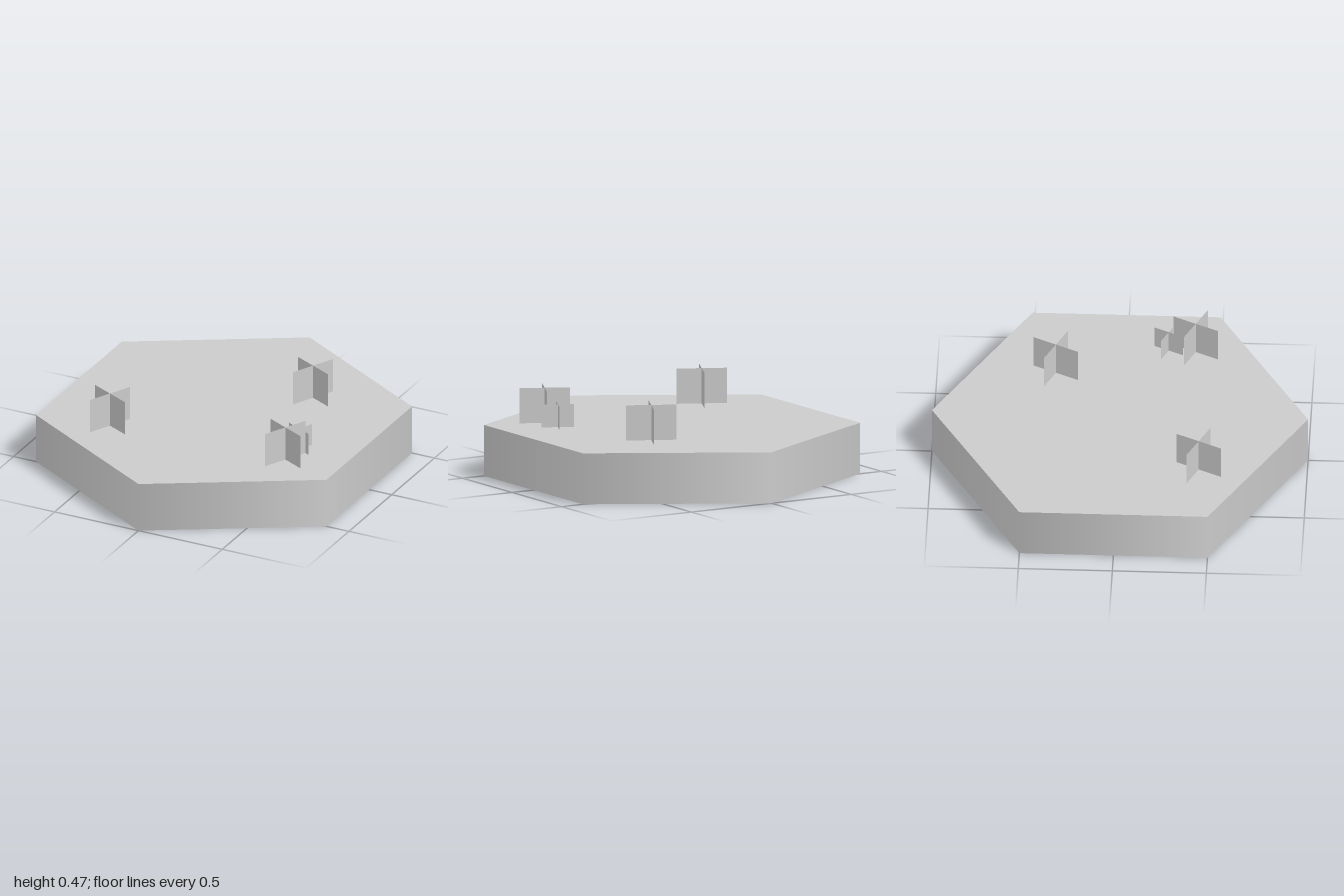
import * as THREE from 'three';

export function createModel() {
  const group = new THREE.Group();
  const material = new THREE.MeshStandardMaterial({ color: 0xcccccc });
  const leafMaterial = new THREE.MeshStandardMaterial({ color: 0xcccccc, side: THREE.DoubleSide });
  const tileHeight = 0.275;

  // Hexagonal ground tile with a corner towards the front
  const tile = new THREE.Mesh(new THREE.CylinderGeometry(1, 1, tileHeight, 6), material);
  tile.name = 'hexTile';
  tile.position.y = tileHeight / 2;
  group.add(tile);

  // Plant made of two crossed upright cards
  const addPlant = (x, z, scale) => {
    const plant = new THREE.Group();
    plant.name = 'plant';
    const card = new THREE.PlaneGeometry(0.268, 0.19).translate(0, 0.095, 0);
    for (let i = 0; i < 2; i++) {
      const leaf = new THREE.Mesh(card, leafMaterial);
      leaf.name = 'plantCard';
      leaf.rotation.y = i * Math.PI / 2;
      plant.add(leaf);
    }
    plant.position.set(x, tileHeight, z);
    plant.rotation.y = -0.455;
    plant.scale.setScalar(scale);
    group.add(plant);
  };

  // Three large plants and one small
  addPlant(-0.457, 0.437, 1);
  addPlant(0.35, -0.355, 1);
  addPlant(0.56, 0.38, 1);
  addPlant(0.567, 0.236, 0.65);

  return group;
}
